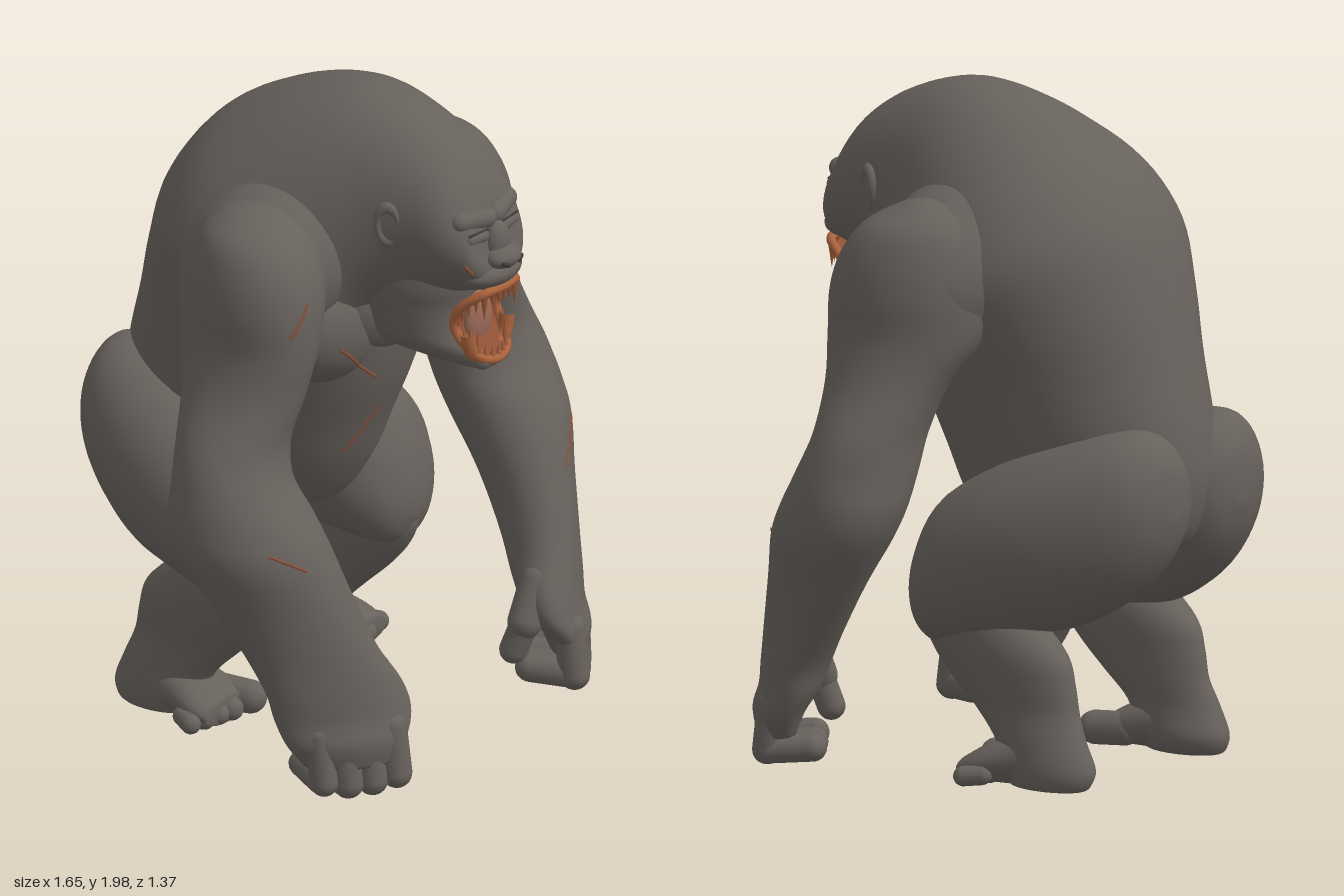
import * as THREE from 'three';

const mat = (name, color, extra = {}) => Object.assign(new THREE.MeshStandardMaterial({ color, ...extra }), { name });
const V = (x, y, z) => new THREE.Vector3(x, y, z);

// Cross-sections as [centre, u axis, v axis], nine numbers each
const level = s => ([y, x0, x1, z0, z1, skew = 0]) => {
  const rx = (x1 - x0) / 2, rz = (z1 - z0) / 2;
  return [s * (x0 + x1) / 2, y, (z0 + z1) / 2, rx, 0, rz * Math.sin(skew * s), 0, 0, rz * Math.cos(skew)];
};
const tilted = s => ([ty, tz, by, bz, w, x = 0]) =>
  [s * x, (ty + by) / 2, (tz + bz) / 2, w, 0, 0, 0, (ty - by) / 2, (tz - bz) / 2];

// Smooth closed skin through the cross-sections
function loft(sections, seg = 40, sub = 5) {
  const n = sections.length, rows = (n - 1) * sub + 1, pos = [], idx = [];
  const at = i => sections[Math.max(0, Math.min(n - 1, i))];
  const spline = (a, b, c, d, t) => 0.5 * (2 * b + (c - a) * t + (2 * a - 5 * b + 4 * c - d) * t * t + (3 * b - a - 3 * c + d) * t ** 3);
  for (let r = 0; r < rows; r++) {
    const i = Math.min(n - 2, Math.floor(r / sub)), t = r / sub - i;
    const q = at(i).map((b, k) => spline(at(i - 1)[k], b, at(i + 1)[k], at(i + 2)[k], t));
    for (let j = 0; j < seg; j++) {
      const a = j / seg * Math.PI * 2, c = Math.cos(a), s = Math.sin(a);
      for (let k = 0; k < 3; k++) pos.push(q[k] + q[3 + k] * c + q[6 + k] * s);
    }
  }
  pos.push(...at(0).slice(0, 3), ...at(n - 1).slice(0, 3));
  const first = rows * seg, last = first + 1, end = (rows - 1) * seg;
  for (let j = 0; j < seg; j++) {
    const m = (j + 1) % seg;
    for (let r = 0; r < rows - 1; r++) {
      const a = r * seg + j, b = r * seg + m;
      idx.push(a, b, a + seg, b, b + seg, a + seg);
    }
    idx.push(first, m, j, last, end + j, end + m);
  }
  const g = new THREE.BufferGeometry();
  g.setAttribute('position', new THREE.Float32BufferAttribute(pos, 3));
  g.setIndex(idx);
  g.computeVertexNormals();
  return g;
}

export function createModel() {
  const hide = mat('hide', 0x67615c), crease = mat('crease', 0x3d3936), scar = mat('scar', 0x8a5038);
  const gum = mat('gum', 0xa9623c), tongueMat = mat('tongue', 0x9a6a58), ivory = mat('teeth', 0xa05c38);
  const throat = mat('throat', 0x8f5035, { side: THREE.DoubleSide });
  const model = new THREE.Group();
  model.name = 'ape';
  const add = (name, geo, m = hide) => {
    const mesh = new THREE.Mesh(geo, m);
    mesh.name = name;
    model.add(mesh);
    return mesh;
  };
  // Ellipsoid, rolled about z if wanted
  const ball = (name, p, r, m = hide, roll = 0) =>
    add(name, new THREE.SphereGeometry(1, 32, 24).scale(...r).rotateZ(roll).translate(...p), m);
  // Rounded rod between two points
  const rod = (name, p, q, r, m = hide) => {
    const a = V(...p), b = V(...q), d = b.clone().sub(a);
    const g = new THREE.CapsuleGeometry(r, d.length(), 8, 16);
    g.applyQuaternion(new THREE.Quaternion().setFromUnitVectors(V(0, 1, 0), d.normalize()));
    return add(name, g.translate(...a.add(b).multiplyScalar(0.5).toArray()), m);
  };
  // Foremost point of the skin at x, y
  const ray = new THREE.Raycaster();
  const skinPoint = (x, y, sink = 0) => {
    ray.set(V(x, y, 2), V(0, 0, -1));
    const p = ray.intersectObjects(model.children.filter(m => m.material === hide), false)[0].point;
    return [p.x, p.y, p.z - sink];
  };

  // Trunk and skull: back point, front point, half width
  add('trunkAndHead', loft([
    [.66, -.45, .63, -.2, .06], [.72, -.6, .65, .02, .2], [.88, -.655, .78, .13, .275],
    [1.05, -.64, .95, .2, .325], [1.25, -.585, 1.08, .25, .365], [1.45, -.53, 1.2, .28, .415],
    [1.65, -.455, 1.28, .29, .455], [1.82, -.32, 1.33, .29, .42], [1.93, -.13, 1.36, .32, .355],
    [1.99, .05, 1.38, .36, .295], [2, .2, 1.4, .42, .245], [1.95, .37, 1.42, .46, .212],
    [1.87, .5, 1.45, .55, .185], [1.77, .575, 1.47, .61, .15], [1.69, .605, 1.5, .64, .12], [1.61, .62, 1.54, .65, .07],
  ].map(tilted(1)), 56));

  // Open jaw running back into the neck
  add('jaw', loft([
    [1.56, -.18, .18, .1, .54], [1.46, -.183, .183, .08, .54], [1.39, -.172, .172, .06, .53],
    [1.32, -.155, .155, .06, .55], [1.275, -.13, .13, .1, .6], [1.245, -.1, .1, .2, .62], [1.22, -.055, .055, .5, .61],
  ].map(level(1))));
  ball('neck', [0, 1.36, .17], [.24, .2, .17]);

  // Mouth lining, gums and tongue
  const lining = new THREE.PlaneGeometry(2, 2, 8, 16), lp = lining.attributes.position;
  for (let i = 0; i < lp.count; i++) {
    const s = lp.getX(i), t = lp.getY(i);
    lp.setXYZ(i, s * (.097 + .012 * t) * Math.sqrt(Math.max(0, 1 - t ** 6)), 1.365 + .11 * t, .538 + .1 * t * t);
  }
  lining.computeVertexNormals();
  add('mouthLining', lining, throat);
  const half = [[.075, 1.475, .63], [.107, 1.43, .57], [.105, 1.37, .54], [.092, 1.31, .565], [.06, 1.262, .61]];
  const rim = new THREE.CatmullRomCurve3([
    V(0, 1.48, .645), ...half.map(p => V(...p)), V(0, 1.248, .625), ...half.slice().reverse().map(([x, y, z]) => V(-x, y, z)),
  ], true);
  add('gums', new THREE.TubeGeometry(rim, 80, .014, 10, true), gum);
  const lowerRim = [[.095, 1.345], [.088, 1.3], [.06, 1.268]];
  const lowerPath = [...lowerRim.map(([x, y]) => V(x, y, .585)), ...lowerRim.reverse().map(([x, y]) => V(-x, y, .585))];
  add('lowerGum', new THREE.TubeGeometry(new THREE.CatmullRomCurve3(lowerPath), 40, .022, 10), gum);
  ball('tongue', [0, 1.355, .55], [.06, .085, .025], tongueMat);

  // Teeth: a row along the upper and lower gums, with longer fangs
  for (let i = 0; i < 32; i++) {
    const p = rim.getPointAt(i / 32), up = p.y > 1.36;
    if (Math.abs(p.y - 1.36) < .03) continue;
    const fang = Math.abs(Math.abs(p.x) - .07) < .016, h = fang ? .085 : .05;
    const g = new THREE.ConeGeometry(fang ? .013 : .011, h, 8);
    if (up) g.rotateX(Math.PI);
    add('tooth', g.translate(p.x * .95, p.y + (up ? -1 : 1) * h / 2, p.z), ivory);
  }

  for (const s of [1, -1]) {
    const side = s > 0 ? 'left' : 'right';
    // Brow, closed eye and ear
    rod(side + 'Brow', skinPoint(s * .02, 1.69, .012), skinPoint(s * .115, 1.7, .022), .032);
    rod(side + 'EyeLid', skinPoint(s * .05, 1.645, .014), skinPoint(s * .105, 1.648, .016), .022);
    rod(side + 'EyeCrease', skinPoint(s * .035, 1.662), skinPoint(s * .115, 1.664), .0045, crease);
    const ear = new THREE.TorusGeometry(.042, .014, 10, 24).scale(.75, 1.35, 1).rotateY(s * (Math.PI / 2 - .55));
    add(side + 'EarRim', ear.rotateZ(-s * .12).translate(s * .215, 1.68, .385));
    ball(side + 'EarInner', [s * .205, 1.675, .38], [.014, .055, .033]);

    // Shoulder yoke, chest and neck muscle
    ball(side + 'Trapezius', [s * .25, 1.525, .01], [.35, .24, .25], hide, -s * .47);
    ball(side + 'Pectoral', [s * .165, 1.3, .12], [.25, .19, .155], hide, s * .3);

    // Arm: height, x range, z range, skew
    add(side + 'Arm', loft([
      [1.725, .39, .42, .02, .06], [1.705, .31, .48, -.05, .13], [1.655, .24, .565, -.12, .21, .15], [1.57, .2, .61, -.17, .27, .2],
      [1.46, .22, .63, -.19, .3, .2], [1.33, .28, .635, -.17, .3, .15], [1.2, .35, .68, -.1, .28], [1.06, .4, .765, -.06, .26],
      [.95, .43, .805, -.05, .295], [.85, .43, .825, -.04, .36, -.15], [.75, .43, .82, 0, .415, -.25], [.6, .425, .765, .1, .47, -.4],
      [.45, .395, .72, .2, .52, -.5], [.34, .345, .7, .27, .56, -.6], [.26, .34, .69, .3, .585, -.7],
      [.19, .385, .68, .34, .6, -.75], [.12, .43, .64, .38, .58, -.75],
    ].map(level(s)), 44));

    // Knuckled fingers and thumb
    for (let i = 0; i < 4; i++) {
      const x = .435 + i * .061, z = .578 - i * .042, r = .046 - (i === 3 ? .004 : 0);
      const low = .066 + (i % 3 ? 0 : .012);
      rod(side + 'Finger', [s * x, .22, z - .02], [s * x, low, z], r);
      rod(side + 'FingerTip', [s * x, low, z - .01], [s * (x - .055), low + .01, z - .12], r - .003);
    }
    rod(side + 'ThumbBase', [s * .4, .36, .47], [s * .34, .25, .47], .052);
    rod(side + 'ThumbTip', [s * .34, .25, .47], [s * .325, .16, .44], .042);

    // Thigh and buttock: top point, bottom point, half width, x
    add(side + 'Thigh', loft([
      [.9, -.685, .82, -.685, .03, .16], [1.0, -.665, .71, -.65, .125, .17], [1.08, -.585, .59, -.56, .2, .19],
      [1.05, -.41, .49, -.4, .25, .23], [.97, -.2, .455, -.25, .25, .27], [.86, -.01, .42, -.1, .215, .3],
      [.75, .06, .4, .02, .16, .312], [.64, .095, .43, .075, .1, .312], [.56, .108, .5, .105, .03, .31],
    ].map(tilted(s)), 44));
    add(side + 'Shin', loft([
      [.57, .23, .41, -.2, .08], [.48, .2, .42, -.32, .1], [.4, .2, .42, -.4, .07], [.32, .21, .41, -.425, .005],
      [.24, .22, .4, -.44, -.08], [.16, .23, .41, -.47, -.16], [.08, .22, .42, -.5, -.2], [.03, .24, .41, -.485, -.22], [.02, .27, .38, -.46, -.24],
    ].map(level(s))));
    add(side + 'Foot', loft([
      [.19, -.4, .03, -.4, .07, .32], [.18, -.28, .02, -.28, .1, .32], [.14, -.17, .02, -.17, .12, .33], [.1, -.1, .025, -.1, .11, .33],
    ].map(tilted(s))));
    for (let i = 0; i < 5; i++) {
      const r = i ? .038 - i * .002 : .05, x = i ? .26 + i * .05 : .235;
      rod(side + 'Toe', [s * (x * .8 + .066), r + .025, -.19], [s * x, r + .02, -.095 - i * .012], r);
    }
  }

  // Nose and lips
  ball('muzzle', [0, 1.525, .59], [.12, .05, .08]);
  ball('noseBridge', [0, 1.61, .62], [.045, .07, .035]);
  ball('nose', [0, 1.575, .638], [.065, .036, .05]);
  rod('lowerLip', [-.045, 1.245, .6], [.045, 1.245, .6], .025);
  for (const s of [1, -1]) rod('nostril', skinPoint(s * .025, 1.562), skinPoint(s * .043, 1.57), .007, crease);

  // Scratches laid onto the skin
  const scratches = [
    [-.27, 1.27, -.09, 1.12], [.17, 1.17, .28, 1.26], [-.1, .86, -.03, 1], [-.55, 1.41, -.48, 1.5],
    [.48, 1.38, .53, 1.28], [-.73, .8, -.64, .74], [.56, .65, .69, .76], [-.14, 1.58, -.12, 1.55],
  ];
  for (const [x0, y0, x1, y1] of scratches) {
    const path = Array.from({ length: 9 }, (_, i) => V(...skinPoint(x0 + (x1 - x0) * i / 8, y0 + (y1 - y0) * i / 8)));
    add('scratch', new THREE.TubeGeometry(new THREE.CatmullRomCurve3(path), 16, .0048, 6), scar);
  }
  return model;
}
